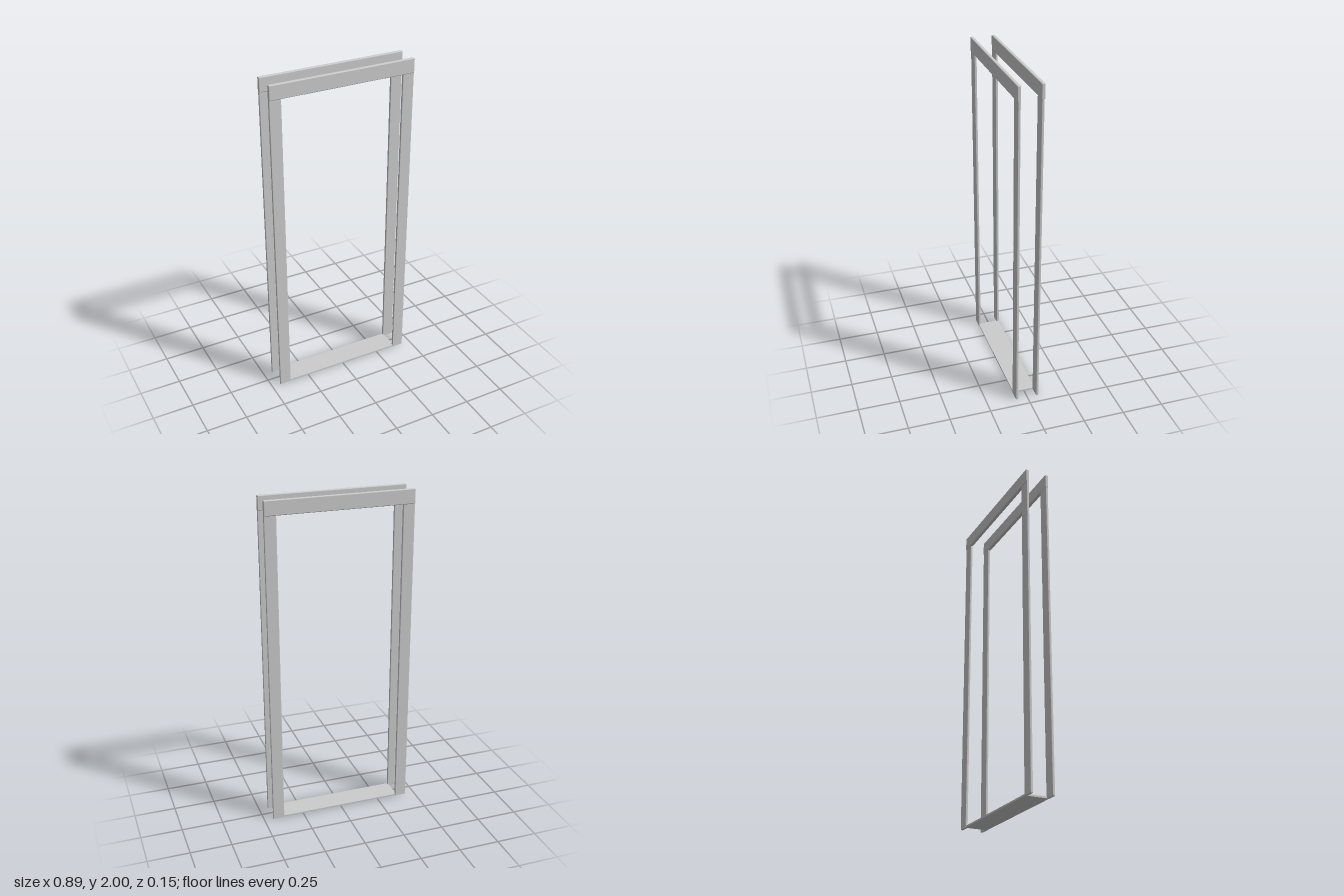
import * as THREE from 'three';
import { RoundedBoxGeometry } from 'three/addons/geometries/RoundedBoxGeometry.js';

export function createModel() {
  const group = new THREE.Group();
  group.name = 'doorFrame';
  const paint = new THREE.MeshStandardMaterial({ color: 0xcccccc });
  paint.name = 'light grey';

  const add = (name, geometry, x, y, z) => {
    const mesh = new THREE.Mesh(geometry, paint);
    mesh.name = name;
    mesh.position.set(x, y, z);
    group.add(mesh);
  };

  const headBottom = 1.913;
  const headGeometry = new RoundedBoxGeometry(0.888, 2 - headBottom, 0.021, 3, 0.005);

  // Upright casing section: flat faces with softly rounded long edges
  const w = 0.0355, t = 0.0075, r = 0.004;
  const section = new THREE.Shape();
  section.moveTo(-w + r, -t);
  section.lineTo(w - r, -t);
  section.quadraticCurveTo(w, -t, w, -t + r);
  section.lineTo(w, t - r);
  section.quadraticCurveTo(w, t, w - r, t);
  section.lineTo(-w + r, t);
  section.quadraticCurveTo(-w, t, -w, t - r);
  section.lineTo(-w, -t + r);
  section.quadraticCurveTo(-w, -t, -w + r, -t);
  const uprightGeometry = new THREE.ExtrudeGeometry(section, {
    depth: headBottom + 0.003, bevelEnabled: false, curveSegments: 4,
  });
  uprightGeometry.rotateX(-Math.PI / 2);

  // Matching trim on the front and back of the opening
  for (const [label, side] of [['front', 1], ['back', -1]]) {
    add(label + 'HeadCasing', headGeometry, 0, (2 + headBottom) / 2, side * 0.0655);
    add(label + 'LeftCasing', uprightGeometry, 0.4085, 0, side * 0.0645);
    add(label + 'RightCasing', uprightGeometry, -0.4085, 0, side * 0.0645);
  }

  // Thin sill joining the two trims
  add('threshold', new THREE.BoxGeometry(0.76, 0.01, 0.14), 0, 0.005, 0);

  return group;
}
